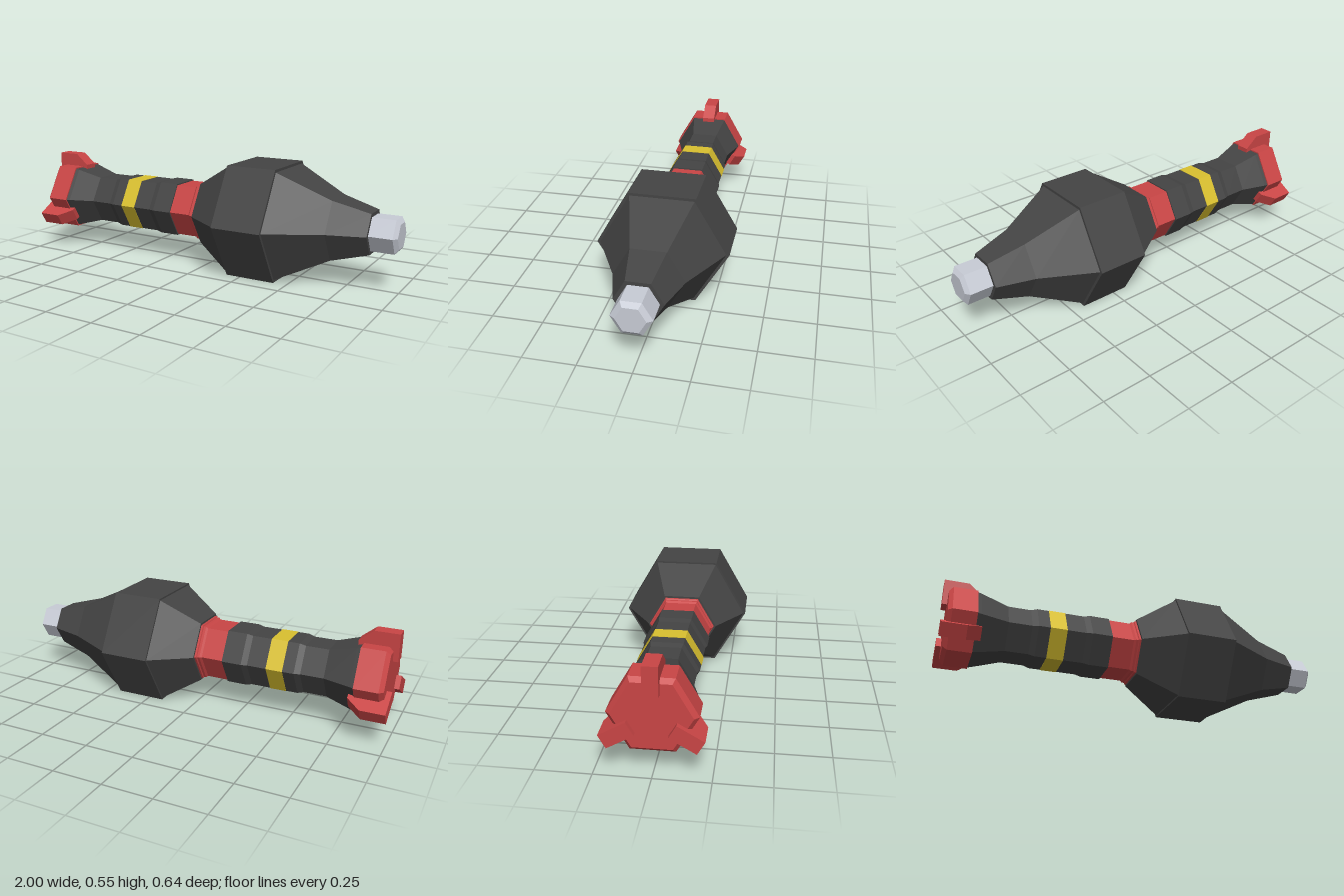
import * as THREE from 'three';

const AXIS_Y = 0.277;

function material(name, color) {
  const m = new THREE.MeshStandardMaterial({ color, flatShading: true });
  m.name = name;
  return m;
}

export function createModel() {
  const group = new THREE.Group();
  group.name = 'rocketGrenade';
  const gray = material('darkGray', 0x444444);
  const red = material('red', 0xc94545);
  const yellow = material('yellow', 0xd9c02f);
  const silver = material('silver', 0xc8ccd6);

  // Six-sided body turned around the x axis; profile holds [x, corner radius]
  function hexBody(name, mat, profile) {
    const first = profile[0], last = profile[profile.length - 1];
    const points = [[first[0], 0], ...profile, [last[0], 0]].map(([x, r]) => new THREE.Vector2(r, x));
    const geometry = new THREE.LatheGeometry(points, 6);
    geometry.rotateZ(-Math.PI / 2);
    const mesh = new THREE.Mesh(geometry, mat);
    mesh.name = name;
    mesh.position.y = AXIS_Y;
    group.add(mesh);
  }

  // Nose and warhead
  hexBody('fuseTip', silver, [[0.86, 0.093], [0.983, 0.093], [1, 0.068]]);
  hexBody('warheadCone', gray, [[0.43, 0.306], [0.69, 0.167], [0.87, 0.113]]);
  hexBody('warheadBand', gray, [[0.175, 0.32], [0.432, 0.32]]);
  hexBody('warheadBase', gray, [[-0.02, 0.178], [0.175, 0.31]]);

  // Collar with stepped ridges
  hexBody('collar', red, [[-0.168, 0.151], [-0.055, 0.151], [-0.045, 0.16], [-0.033, 0.16], [-0.03, 0.167], [-0.02, 0.167]]);

  // Motor tube
  hexBody('frontTube', gray, [[-0.4, 0.15], [-0.3, 0.15], [-0.27, 0.158], [-0.168, 0.158]]);
  hexBody('stripe', yellow, [[-0.482, 0.152], [-0.398, 0.152]]);
  hexBody('rearTube', gray, [[-0.84, 0.187], [-0.82, 0.182], [-0.685, 0.14], [-0.57, 0.14], [-0.54, 0.15], [-0.48, 0.15]]);

  // Tail cap
  hexBody('tailCap', red, [[-0.975, 0.172], [-0.955, 0.194], [-0.838, 0.194]]);

  // Three fins on alternate faces of the tail
  const outline = [[-1, 0.1], [-0.81, 0.1], [-0.81, 0.178], [-0.88, 0.235], [-1, 0.235]];
  const finShape = new THREE.Shape(outline.map(([x, y]) => new THREE.Vector2(x, y)));
  const finGeometry = new THREE.ExtrudeGeometry(finShape, { depth: 0.068, bevelEnabled: false });
  finGeometry.translate(0, 0, -0.034);
  for (let i = 0; i < 3; i++) {
    const fin = new THREE.Mesh(finGeometry, red);
    fin.name = 'tailFin' + (i + 1);
    fin.position.y = AXIS_Y;
    fin.rotation.x = (i * Math.PI * 2) / 3;
    group.add(fin);
  }
  return group;
}
